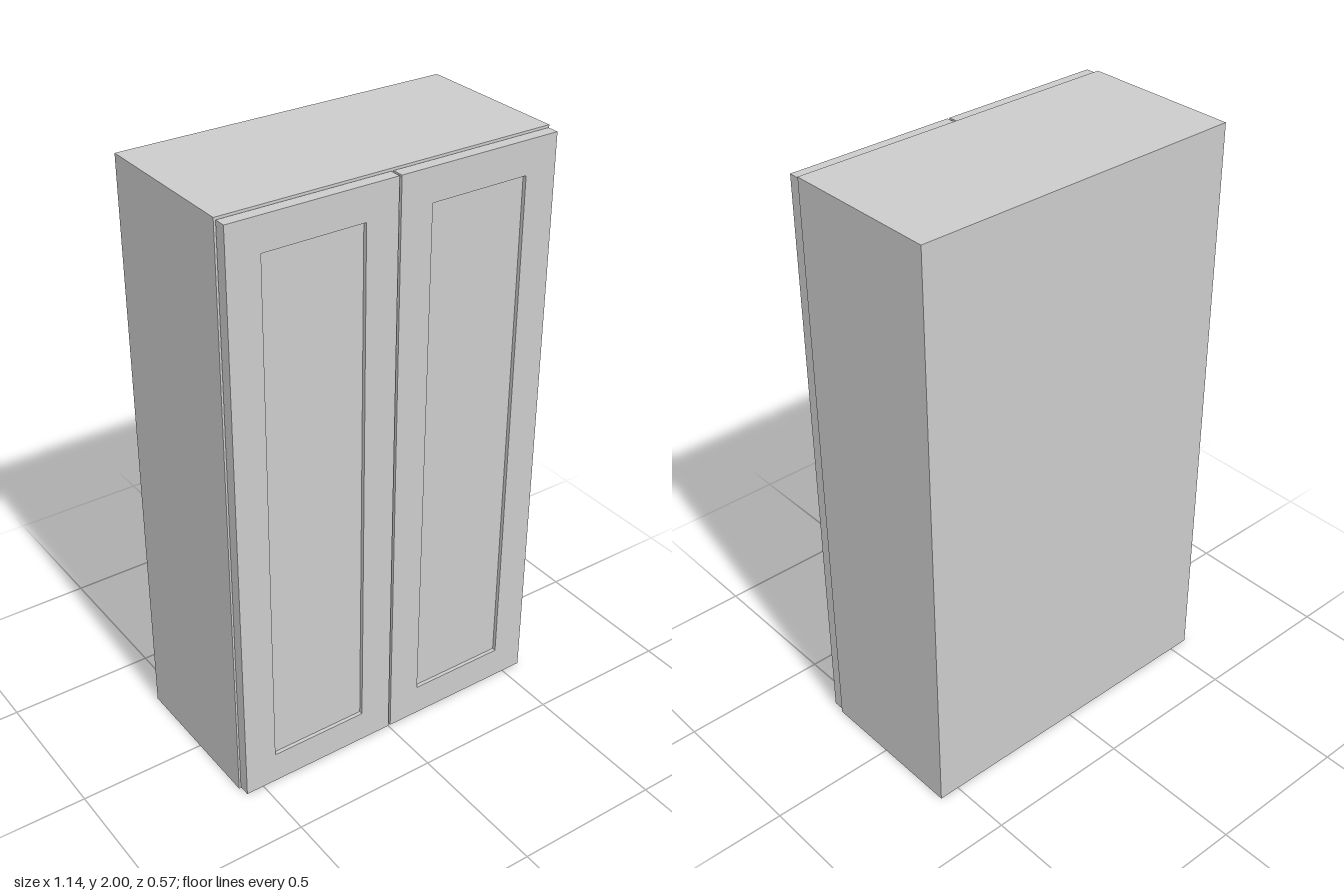
import * as THREE from 'three';

const material = new THREE.MeshStandardMaterial({ color: 0xcccccc, flatShading: true });

// Box given by its lower and upper corners
function board(name, [x0, y0, z0], [x1, y1, z1]) {
  const mesh = new THREE.Mesh(new THREE.BoxGeometry(x1 - x0, y1 - y0, z1 - z0), material);
  mesh.position.set((x0 + x1) / 2, (y0 + y1) / 2, (z0 + z1) / 2);
  mesh.name = name;
  return mesh;
}

function rectangle(PathType, x0, y0, x1, y1) {
  return new PathType([[x0, y0], [x1, y0], [x1, y1], [x0, y1]].map(p => new THREE.Vector2(...p)));
}

const W = 0.57, H = 2, T = 0.032;          // half width, height, board thickness
const BACK = -0.287, FRONT = 0.245;        // carcass depth
const DOOR_BACK = 0.248, DOOR_FRONT = 0.287;

// Framed door with a recessed centre panel
function door(name, x0, x1) {
  const group = new THREE.Group();
  group.name = name;
  const y0 = 0.007, y1 = 1.993, rail = 0.11;
  const outline = rectangle(THREE.Shape, x0, y0, x1, y1);
  outline.holes.push(rectangle(THREE.Path, x0 + rail, y0 + rail, x1 - rail, y1 - rail));
  const frame = new THREE.Mesh(
    new THREE.ExtrudeGeometry(outline, { depth: DOOR_FRONT - DOOR_BACK, bevelEnabled: false }), material);
  frame.position.z = DOOR_BACK;
  frame.name = 'doorFrame';
  group.add(frame, board('doorPanel',
    [x0 + rail, y0 + rail, DOOR_BACK], [x1 - rail, y1 - rail, DOOR_FRONT - 0.013]));
  return group;
}

export function createModel() {
  const model = new THREE.Group();
  model.name = 'wallCabinet';
  const inner = W - T;

  // Carcass
  model.add(
    board('leftSide', [inner, 0, BACK], [W, H, FRONT]),
    board('rightSide', [-W, 0, BACK], [-inner, H, FRONT]),
    board('topBoard', [-inner, H - T, BACK], [inner, H, FRONT]),
    board('bottomBoard', [-inner, 0, BACK], [inner, T, FRONT]),
    board('backBoard', [-inner, T, BACK], [inner, H - T, BACK + 0.02]),
    board('shelf', [-inner, 1 - T / 2, BACK + 0.02], [inner, 1 + T / 2, FRONT]),
  );

  // Pair of doors
  model.add(door('leftDoor', 0.004, 0.565), door('rightDoor', -0.565, -0.004));
  return model;
}
